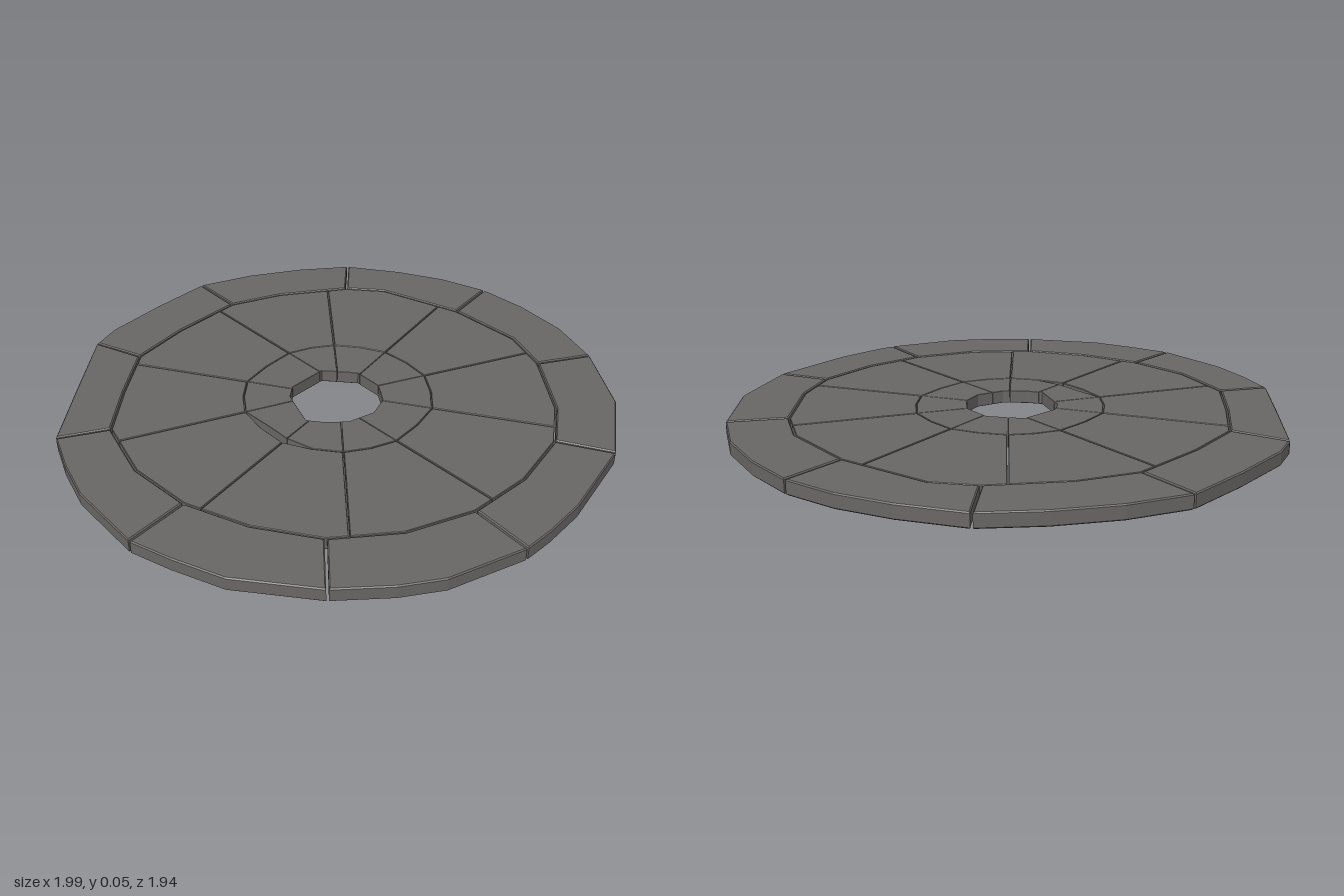
import * as THREE from 'three';

const TAU = Math.PI * 2;
const angle = ([x, z]) => (Math.atan2(z, x) + TAU) % TAU;
const sorted = (pts) => [...pts].sort((a, b) => angle(a) - angle(b));

// Outline of the disc, [x, z]
const outerJoints = sorted([[-.35, -.93], [.24, -.98], [.78, -.63], [.995, -.06], [.83, .54],
  [.35, .92], [-.24, .96], [-.76, .63], [-1, .05], [-.83, -.54]]);
const outerRim = sorted([...outerJoints, [-.24, -.965], [0, -.98], [.44, -.89], [.62, -.77],
  [.89, -.43], [.96, -.25], [.98, .14], [.93, .35], [.62, .77], [.03, .97], [-.13, .97],
  [-.5, .86], [-.62, .77], [-.92, .38], [-.97, .2], [-.96, -.24], [-.9, -.4], [-.6, -.73]]);

// Seam between the rim stones and the wedges
const rimSeamJoints = sorted([[-.30, -.73], [.21, -.76], [.62, -.5], [.77, -.04], [.65, .42],
  [.27, .73], [-.2, .74], [-.6, .48], [-.77, .04], [-.67, -.44]]);
const rimSeam = sorted([...rimSeamJoints, [-.07, -.76], [.4, -.67], [.71, -.37], [.74, .25],
  [.44, .63], [.03, .765], [-.42, .64], [-.71, .27], [-.76, -.2], [-.49, -.59]]);

// Ragged central hole
const hole = sorted([[-.12, -.12], [-.07, -.155], [.08, -.15], [.155, -.04], [.14, .07], [.08, .14],
  [0, .165], [-.1, .135], [-.16, .07], [-.19, .02], [-.15, -.06]]);

// Ends of the joints between wedges
const wedgeOuter = sorted([[-.34, -.69], [.14, -.76], [.57, -.56], [.75, -.12], [.67, .34],
  [.34, .68], [-.12, .75], [-.55, .53], [-.76, .10], [-.68, -.36]]);
const wedgeInner = sorted([[-.08, -.15], [.07, -.15], [.12, -.11], [.155, -.03], [.14, .07],
  [.075, .14], [-.06, .15], [-.12, .12], [-.18, .03], [-.13, -.09]]);
const crack = wedgeOuter.map((p, i) => {
  const q = wedgeInner[i], d = Math.hypot(...q);
  const t = (.34 - d) / (Math.hypot(...p) - d);
  return [q[0] + (p[0] - q[0]) * t, q[1] + (p[1] - q[1]) * t];
});

// Points of a closed outline from one joint angle to the next
function arc(rim, from, to) {
  const a0 = angle(from), span = (angle(to) - a0 + TAU) % TAU;
  const at = (a) => {
    let i = rim.findIndex((p) => angle(p) > a);
    if (i < 0) i = 0;
    const q = rim[i], p = rim[(i + rim.length - 1) % rim.length];
    const c = Math.cos(a), s = Math.sin(a), dx = q[0] - p[0], dz = q[1] - p[1];
    const r = (p[0] * dz - p[1] * dx) / (c * dz - s * dx);
    return [r * c, r * s];
  };
  const between = rim.map((p) => [(angle(p) - a0 + TAU) % TAU, p])
    .filter(([d]) => d > .02 && d < span - .02)
    .sort((a, b) => a[0] - b[0]).map(([, p]) => p);
  return [at(a0), ...between, at((a0 + span) % TAU)];
}

// One stone slab with small worn edges, inset to leave its half of the joint
function stone(name, outer, inner, y0, y1, gap, bevel, material) {
  const loop = [...outer, ...inner.slice().reverse()];
  const shape = new THREE.Shape(loop.map(([x, z]) => new THREE.Vector2(x, -z)));
  const geometry = new THREE.ExtrudeGeometry(shape, {
    depth: y1 - y0 - 2 * bevel, bevelEnabled: true, bevelSegments: 1,
    bevelSize: bevel, bevelThickness: bevel, bevelOffset: -bevel - gap,
  });
  geometry.rotateX(-Math.PI / 2).translate(0, y0 + bevel, 0);
  const mesh = new THREE.Mesh(geometry, material);
  mesh.name = name;
  return mesh;
}

export function createModel() {
  const model = new THREE.Group();
  model.name = 'stoneDisc';
  const rock = new THREE.MeshStandardMaterial({ color: 0x696665 });
  rock.name = 'grey stone';

  const rimStones = new THREE.Group(), wedges = new THREE.Group(), hub = new THREE.Group();
  rimStones.name = 'rimStones';
  wedges.name = 'wedgeStones';
  hub.name = 'hubStones';
  model.add(rimStones, wedges, hub);

  for (let i = 0; i < 10; i++) {
    const j = (i + 1) % 10;
    // Outer ring
    rimStones.add(stone('rimStone', arc(outerRim, outerJoints[i], outerJoints[j]),
      arc(rimSeam, rimSeamJoints[i], rimSeamJoints[j]), 0, .05, .004, .004, rock));

    // Wedges, slightly thinner than the ring
    const crackMid = [(crack[i][0] + crack[j][0]) * .515, (crack[i][1] + crack[j][1]) * .515];
    const inner = [crack[i], crackMid, crack[j]];
    wedges.add(stone('wedgeStone', arc(rimSeam, wedgeOuter[i], wedgeOuter[j]), inner,
      .002, .048, .002, .002, rock));

    // Hub, with broken corners on the left side
    const chipped = inner.map((p) => {
      const chip = p[0] < -.3 && Math.abs(p[1]) < .1 ? .93 : 1;
      return [p[0] * chip, p[1] * chip];
    });
    hub.add(stone('hubStone', chipped, arc(hole, wedgeInner[i], wedgeInner[j]),
      .002, .048, .0012, .001, rock));
  }
  return model;
}
